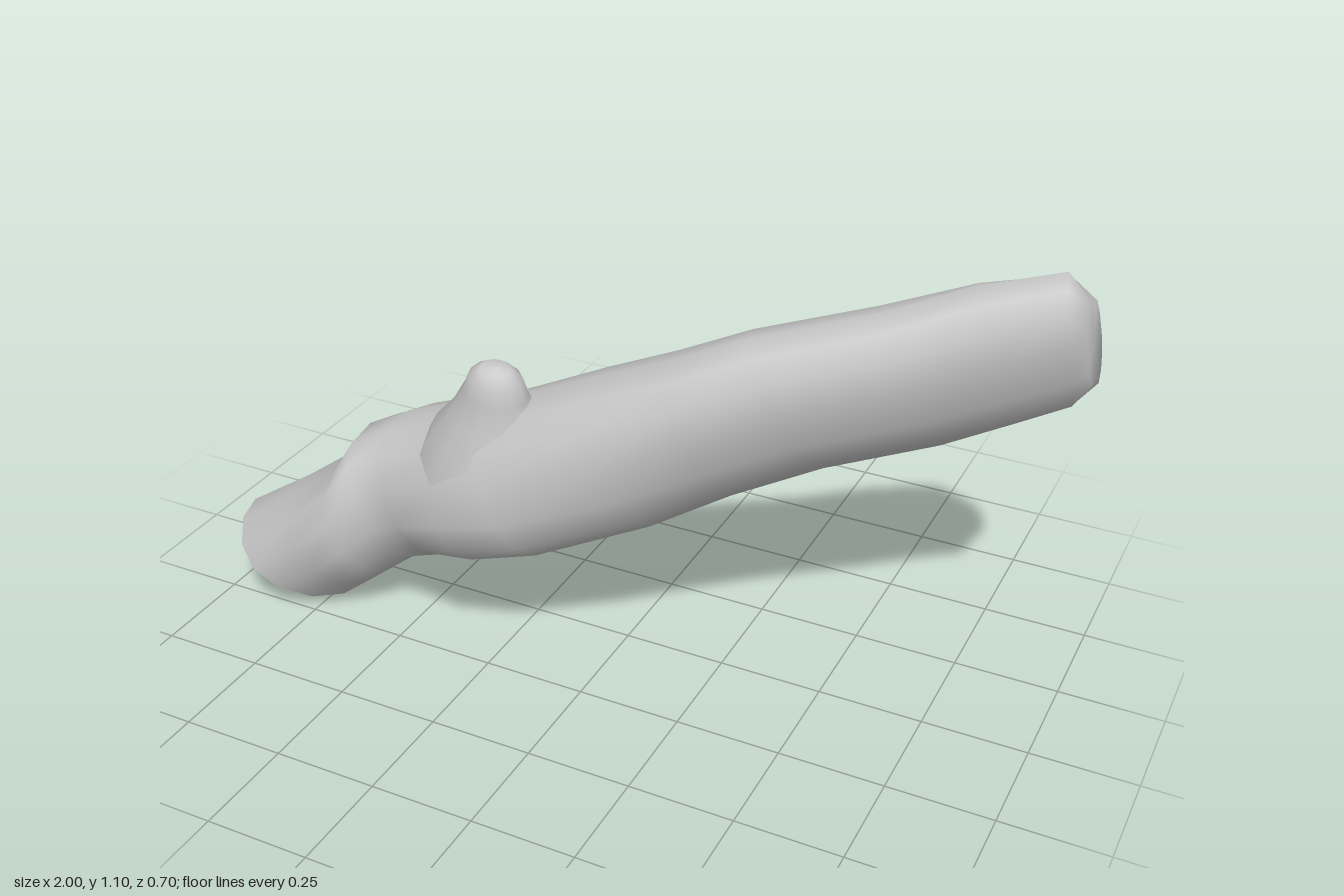
import * as THREE from 'three';

const SIDES = 14;

// Cross-sections: top x,y | bottom x,y | centre z, half width | lean of the top to the front | yaw | cleft depth
const SECTIONS = [
  [-1.0, 0.19, -0.70, 0.0, 0.10, 0.205, 0.03, -0.05, 0],
  [-0.82, 0.31, -0.62, 0.07, 0.11, 0.2, 0.02, -0.05, 0],
  [-0.66, 0.43, -0.55, 0.13, 0.12, 0.2, 0.02, -0.1, 0],
  [-0.63, 0.50, -0.49, 0.165, 0.10, 0.17, 0.02, -0.1, 0],
  [-0.54, 0.54, -0.38, 0.23, 0.11, 0.175, -0.02, -0.15, 0],
  [-0.40, 0.60, -0.25, 0.295, 0.15, 0.175, -0.05, -0.1, 0],
  [-0.25, 0.67, -0.10, 0.34, 0.165, 0.18, -0.01, 0, 0],
  [0.0, 0.79, 0.12, 0.42, 0.11, 0.18, 0.05, 0.15, 0],
  [0.17, 0.865, 0.28, 0.51, 0.075, 0.165, 0.08, 0.25, 0],
  [0.34, 0.945, 0.46, 0.59, 0.03, 0.145, 0.1, 0.35, 0],
  [0.58, 1.005, 0.68, 0.645, -0.08, 0.135, 0.1, 0.4, 0],
  [0.76, 1.07, 0.82, 0.685, -0.16, 0.13, 0.09, 0.4, 0.06],
  [0.92, 1.10, 0.94, 0.74, -0.21, 0.13, 0.06, 0.25, 0.14],
  [0.97, 1.04, 0.99, 0.81, -0.21, 0.1, 0.05, 0.12, 0.25],
  [0.975, 0.93, 0.975, 0.93, -0.22, 0, 0, 0, 0],
];

// Rounded cross-section; the lower end has a more pointed top
function ring([tx, ty, bx, by, zc, hz, lean, yaw, cleft], power) {
  const plump = (t, p) => Math.sign(t) * Math.abs(t) ** p;
  return Array.from({ length: SIDES }, (_, i) => {
    const a = (i / SIDES) * Math.PI * 2;
    const p = Math.cos(a) > 0 ? power : 0.9;
    // clefts just behind the crown and just ahead of the underside
    const r = i === SIDES - 1 || i === SIDES / 2 - 1 ? 1 - cleft : 1;
    const v = plump(Math.cos(a), p) * r;
    const w = plump(Math.sin(a), p) * r * hz;
    return new THREE.Vector3(
      (tx + bx) / 2 + ((tx - bx) / 2) * v + yaw * w,
      (ty + by) / 2 + ((ty - by) / 2) * v,
      zc + w + lean * v);
  });
}

function surface(points, index) {
  const g = new THREE.BufferGeometry().setFromPoints(points);
  g.setIndex(index);
  g.computeVertexNormals();
  return g;
}

// Skin over a row of rings
function loft(rings) {
  const index = [];
  for (let r = 0; r < rings.length - 1; r++) {
    for (let i = 0; i < SIDES; i++) {
      const a = r * SIDES + i, b = r * SIDES + (i + 1) % SIDES;
      index.push(a, b, a + SIDES, b, b + SIDES, a + SIDES);
    }
  }
  return surface(rings.flat(), index);
}

// Hollowed fan closing the first ring
function endCap(points, depth) {
  const c = points.reduce((s, p) => s.add(p), new THREE.Vector3()).divideScalar(SIDES);
  c.x += depth;
  c.y += depth / 2;
  const index = [];
  for (let i = 0; i < SIDES; i++) index.push(SIDES, (i + 1) % SIDES, i);
  return surface([...points, c], index);
}

export function createModel() {
  const group = new THREE.Group();
  const bark = new THREE.MeshStandardMaterial({ color: 0xcacaca });
  bark.name = 'pale grey bark';
  const add = (name, geometry) => {
    const mesh = new THREE.Mesh(geometry, bark);
    mesh.name = name;
    group.add(mesh);
    return mesh;
  };

  // Bent trunk, rounded over and cleft at the upper end
  const rings = SECTIONS.map((s, i) => ring(s, i === 0 ? 1.2 : i === 1 ? 1.05 : 0.9));
  add('trunk', loft(rings));
  add('lowerEnd', endCap(rings[0], 0.04));

  // Broken branch stub on top, flaring into the trunk
  const profile = [[0.19, -0.1], [0.15, 0], [0.105, 0.07], [0.075, 0.14], [0.062, 0.18], [0.035, 0.205], [0, 0.21]]
    .map(([x, y]) => new THREE.Vector2(x, y));
  profile.forEach((p) => { p.x = Math.max(p.x, 0); });
  const stub = add('branchStub', new THREE.LatheGeometry(profile, 12));
  stub.position.set(-0.24, 0.6, 0.19);
  stub.scale.z = 0.85;
  stub.rotation.set(0.22, 0, -0.17);
  return group;
}
